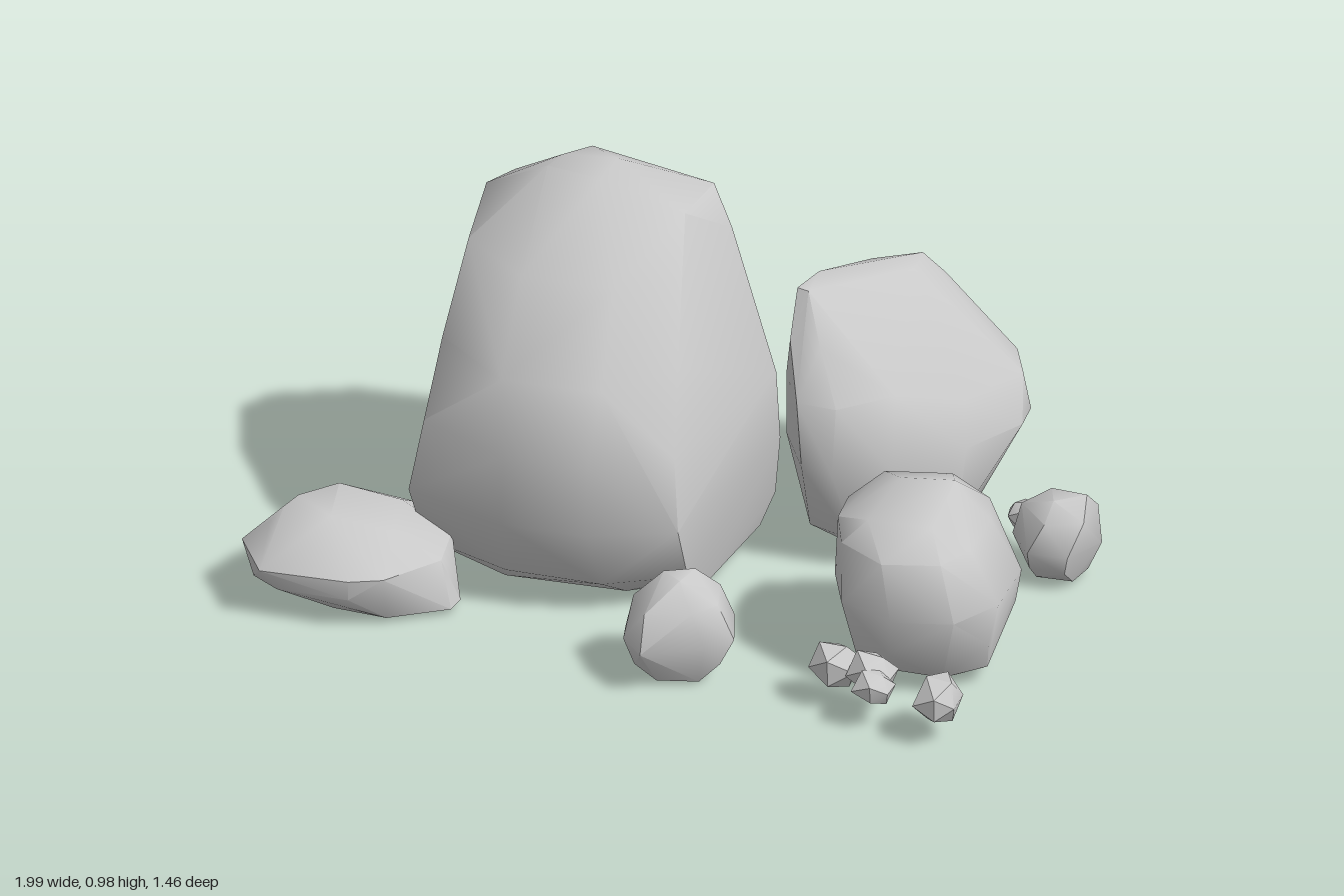
import * as THREE from 'three';
import { ConvexGeometry } from 'three/addons/geometries/ConvexGeometry.js';
import { toCreasedNormals } from 'three/addons/utils/BufferGeometryUtils.js';

const stone = new THREE.MeshStandardMaterial({ color: 0xc8c8c8, side: THREE.DoubleSide });
stone.name = 'grey stone';

// Hull around the points; faces lying wholly at or below openBelow are left out
function rock(name, points, crease = 0.8, openBelow = -1) {
  const hull = new ConvexGeometry(points);
  const p = hull.attributes.position;
  const kept = [];
  for (let i = 0; i < p.count; i += 3) {
    if (Math.max(p.getY(i), p.getY(i + 1), p.getY(i + 2)) <= openBelow) continue;
    for (let j = i; j < i + 3; j++) kept.push(p.getX(j), p.getY(j), p.getZ(j));
  }
  const geometry = new THREE.BufferGeometry();
  geometry.setAttribute('position', new THREE.Float32BufferAttribute(kept, 3));
  const mesh = new THREE.Mesh(toCreasedNormals(geometry, crease), stone);
  mesh.name = name;
  return mesh;
}

// Rock hull from horizontal layers: [height, x, z, x, z, ...]
function layeredRock(name, layers, openBelow) {
  const points = [];
  for (const [y, ...xz] of layers) {
    for (let i = 0; i < xz.length; i += 2) points.push(new THREE.Vector3(xz[i], y, xz[i + 1]));
  }
  return rock(name, points, 0.8, openBelow);
}

// Small chipped stone: an uneven icosahedron hull
function pebble(name, [x, y, z], [rx, ry, rz], seed) {
  const p = new THREE.IcosahedronGeometry(1, 0).attributes.position;
  const points = [];
  for (let i = 0; i < p.count; i++) {
    const v = new THREE.Vector3().fromBufferAttribute(p, i);
    const wobble = 1 + 0.14 * Math.sin(seed * 7 + v.x * 9 + v.y * 5 + v.z * 13);
    v.multiplyScalar(wobble).multiply(new THREE.Vector3(rx, ry, rz));
    points.push(v.add(new THREE.Vector3(x, y, z)));
  }
  return rock(name, points, 0.6);
}

export function createModel() {
  const group = new THREE.Group();
  group.name = 'rockCluster';

  // Tall main boulder, sloping at the front and steep at the back, hollow underneath
  group.add(layeredRock('mainBoulder', [
    [0.02, -0.6, -0.32, -0.25, -0.54, 0.13, -0.22, 0.08, 0.06, -0.1, 0.17, -0.4, 0.17, -0.58, 0.06],
    [0.1, -0.27, -0.6, 0.16, -0.25, -0.63, -0.36, 0.06, 0.2, -0.6, 0.18, -0.13, 0.29, -0.37, 0.28],
    [0.27, 0.18, -0.22, 0.06, 0.29, -0.15, 0.36, -0.36, 0.36, -0.62, 0.25, -0.64, -0.1, -0.63, -0.37, -0.27, -0.56],
    [0.45, 0.17, -0.22, 0.04, 0.25, -0.15, 0.35, -0.36, 0.35, -0.59, 0.22, -0.6, -0.35, -0.27, -0.49],
    [0.63, 0.11, -0.24, 0.02, 0.14, -0.13, 0.29, -0.38, 0.29, -0.57, 0.12, -0.58, -0.32, -0.25, -0.45],
    [0.81, -0.02, 0.0, -0.15, 0.1, -0.38, 0.1, -0.55, -0.05, 0.05, -0.26],
    [0.87, -0.55, -0.22, -0.5, -0.3, -0.3, -0.38, -0.12, -0.37],
    [0.915, 0, -0.28, -0.03, -0.12],
    [0.98, -0.38, -0.15, -0.24, -0.12, -0.3, -0.27],
    [0.99, -0.35, -0.2, -0.22, -0.21],
  ], 0.021));

  // Leaning slab behind on the left
  group.add(layeredRock('leaningSlab', [
    [0.02, 0.45, -0.14, 0.55, -0.19, 0.5, -0.26],
    [0.1, 0.28, -0.12, 0.4, -0.07, 0.62, -0.22, 0.64, -0.36, 0.32, -0.22],
    [0.3, 0.2, -0.2, 0.28, -0.04, 0.36, -0.02, 0.5, -0.07, 0.64, -0.23, 0.74, -0.38, 0.74, -0.46, 0.68, -0.53, 0.4, -0.46],
    [0.4, 0.72, -0.46, 0.68, -0.56, 0.62, -0.28],
    [0.46, 0.2, -0.2, 0.26, -0.07, 0.36, -0.06, 0.48, -0.16, 0.58, -0.38, 0.61, -0.56, 0.45, -0.57, 0.3, -0.48, 0.23, -0.38],
    [0.58, 0.22, -0.16, 0.3, -0.14, 0.5, -0.42, 0.5, -0.57, 0.42, -0.56],
    [0.645, 0.45, -0.46, 0.45, -0.54, 0.34, -0.48],
    [0.685, 0.22, -0.23, 0.25, -0.22, 0.25, -0.32],
  ]));

  // Rounded boulder at the front, full at the foot
  group.add(layeredRock('roundedBoulder', [
    [0.025, 0.56, 0.2, 0.76, 0.18, 0.78, 0.36, 0.58, 0.38],
    [0.06, 0.51, 0.17, 0.7, 0.12, 0.84, 0.17, 0.85, 0.37, 0.76, 0.45, 0.55, 0.44],
    [0.14, 0.48, 0.16, 0.68, 0.08, 0.87, 0.18, 0.86, 0.4, 0.64, 0.51],
    [0.24, 0.45, 0.2, 0.52, 0.12, 0.68, 0.04, 0.8, 0.08, 0.89, 0.2, 0.88, 0.38, 0.8, 0.5, 0.65, 0.53, 0.51, 0.46, 0.46, 0.33],
    [0.38, 0.46, 0.2, 0.52, 0.13, 0.68, 0.08, 0.79, 0.12, 0.82, 0.22, 0.81, 0.38, 0.76, 0.47, 0.62, 0.5, 0.5, 0.42, 0.46, 0.3],
    [0.44, 0.54, 0.16, 0.7, 0.13, 0.77, 0.24, 0.72, 0.4, 0.56, 0.4],
    [0.475, 0.6, 0.24, 0.73, 0.22, 0.7, 0.29],
  ]));

  // Low flat rock beside the main boulder
  group.add(layeredRock('lowRock', [
    [0.015, -0.78, 0.3, -0.68, 0.28, -0.68, 0.4, -0.76, 0.42],
    [0.03, -0.47, 0.33, -0.48, 0.38, -0.88, 0.35, -0.65, 0.15, -0.62, 0.46],
    [0.1, -0.95, 0.3, -0.95, 0.46, -0.88, 0.51, -0.7, 0.52, -0.78, 0.1, -0.6, 0.12],
    [0.15, -1, 0.38, -0.95, 0.27, -0.88, 0.16, -0.76, 0.08, -0.64, 0.1, -0.52, 0.22, -0.51, 0.36, -0.62, 0.49, -0.7, 0.52, -0.92, 0.52],
    [0.21, -0.65, 0.2, -0.63, 0.36, -0.93, 0.38],
    [0.245, -0.88, 0.3, -0.8, 0.22, -0.78, 0.38, -0.9, 0.36],
  ]));

  // Small rock in front of the main boulder
  group.add(layeredRock('smallFrontRock', [
    [0.02, 0.08, 0.47, 0.18, 0.46, 0.18, 0.55, 0.08, 0.57],
    [0.07, 0, 0.5, 0.03, 0.59, 0.23, 0.54, 0.22, 0.42, 0.1, 0.42],
    [0.13, -0.01, 0.52, 0.05, 0.43, 0.13, 0.39, 0.23, 0.4, 0.26, 0.52, 0.2, 0.58, 0.06, 0.65, 0, 0.58],
    [0.22, 0.01, 0.52, 0.06, 0.44, 0.2, 0.42, 0.22, 0.52, 0.17, 0.58, 0.06, 0.61],
    [0.285, 0.08, 0.5, 0.15, 0.47, 0.13, 0.54],
  ]));

  // Small rock at the far left
  group.add(layeredRock('smallSideRock', [
    [0.03, 0.84, -0.2, 0.95, -0.2, 0.93, -0.13, 0.84, -0.13],
    [0.07, 0.8, -0.19, 0.84, -0.25, 0.96, -0.22, 0.92, -0.09, 0.83, -0.1],
    [0.12, 0.77, -0.17, 0.83, -0.26, 0.95, -0.25, 0.99, -0.18, 0.93, -0.08, 0.83, -0.08],
    [0.2, 0.79, -0.18, 0.85, -0.25, 0.97, -0.22, 0.96, -0.12, 0.87, -0.09],
    [0.24, 0.86, -0.2, 0.95, -0.19, 0.88, -0.14],
  ]));

  // Scattered pebbles: centre, radii
  [
    [[0.515, 0.12, 0.55], [0.065, 0.062, 0.065]],
    [[0.615, 0.12, 0.57], [0.062, 0.06, 0.06]],
    [[0.64, 0.12, 0.64], [0.052, 0.045, 0.055]],
    [[0.81, 0.125, 0.665], [0.06, 0.065, 0.08]],
    [[0.73, 0.12, -0.055], [0.045, 0.04, 0.055]],
    [[0.765, 0.11, -0.28], [0.038, 0.038, 0.038]],
    [[-0.51, 0.115, -0.69], [0.045, 0.04, 0.052]],
  ].forEach(([centre, radii], i) => group.add(pebble('pebble' + (i + 1), centre, radii, i + 1)));

  return group;
}
